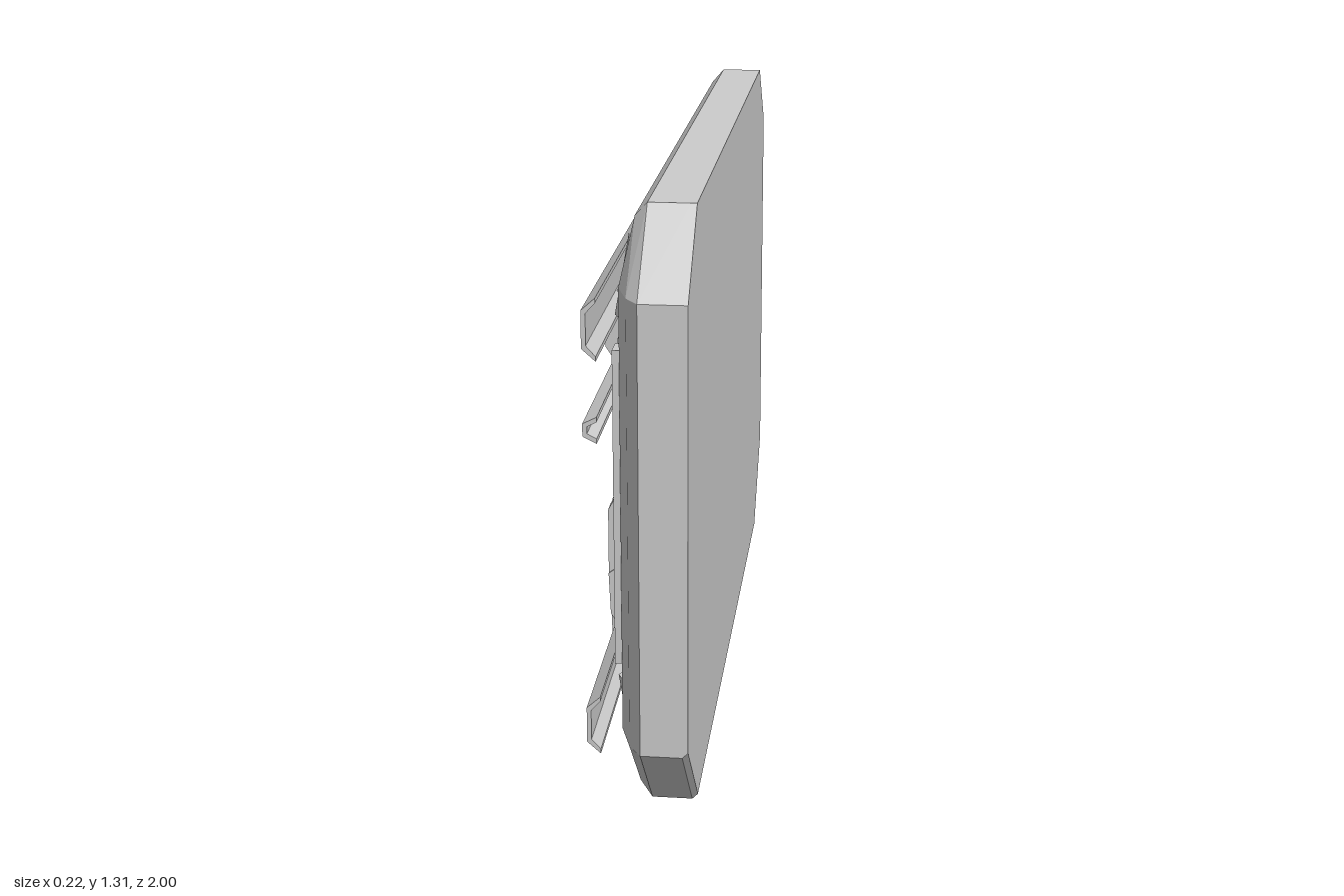
import * as THREE from 'three';

const grey = new THREE.MeshStandardMaterial({ color: 0xcccccc, flatShading: true, side: THREE.DoubleSide });
const smooth = new THREE.MeshStandardMaterial({ color: 0xcccccc });

export function createModel() {
  const model = new THREE.Group();
  const add = (name, geometry, material = grey) => {
    const mesh = new THREE.Mesh(geometry, material);
    mesh.name = name;
    model.add(mesh);
    return mesh;
  };
  // Box given by its limits
  const box = (name, x0, x1, y0, y1, z0, z1) =>
    add(name, new THREE.BoxGeometry(x1 - x0, y1 - y0, z1 - z0)
      .translate((x0 + x1) / 2, (y0 + y1) / 2, (z0 + z1) / 2));
  // Profile in x and y, extruded along z
  const prism = (name, points, z0, z1) => {
    const shape = new THREE.Shape(points.map(p => new THREE.Vector2(p[0], p[1])));
    return add(name, new THREE.ExtrudeGeometry(shape, { depth: z1 - z0, bevelEnabled: false }).translate(0, 0, z0));
  };

  // Door slab: eight-sided outline, stepping inwards towards the back face
  const outline = (x, iy, iz) => {
    const w = 1 - iz, b = iy, t = 1.31 - iy;
    return [[w, 0.2], [w, 1.15], [0.83 - iz * 0.4, t], [-0.83 + iz * 0.4, t],
      [-w, 1.15], [-w, 0.2], [-0.8 + iz * 0.4, b], [0.8 - iz * 0.4, b]].map(([z, y]) => [x, y, z]);
  };
  const rings = [outline(0.11, 0, 0), outline(0.012, 0, 0), outline(-0.015, 0.03, 0.04), outline(-0.04, 0.14, 0.12)];
  // Small bevel along the lower front edge
  rings[0].forEach(p => { if (p[1] < 0.3) p[1] += 0.012; });
  rings.splice(1, 0, outline(0.098, 0, 0));
  const verts = rings.flat(2), index = [];
  for (let r = 0; r < rings.length - 1; r++) {
    for (let i = 0; i < 8; i++) {
      const a = r * 8 + i, b = r * 8 + (i + 1) % 8;
      index.push(a, a + 8, b, b, a + 8, b + 8);
    }
  }
  const last = (rings.length - 1) * 8;
  for (let i = 1; i < 7; i++) {
    index.push(0, i, i + 1);
    index.push(last, last + i + 1, last + i);
  }
  // Outline runs clockwise seen from +x, so flip the winding
  for (let i = 0; i < index.length; i += 3) [index[i + 1], index[i + 2]] = [index[i + 2], index[i + 1]];
  const slab = new THREE.BufferGeometry();
  slab.setAttribute('position', new THREE.Float32BufferAttribute(verts, 3));
  slab.setIndex(index);
  slab.computeVertexNormals();
  add('doorSlab', slab);

  // Channel rails, open towards the door
  const rail = (name, y, h, lip) => {
    const t = 0.01;
    prism(name, [
      [-0.068, y + h], [-0.096, y + h - lip], [-0.096, y - h + lip], [-0.068, y - h],
      [-0.068, y - h + t], [-0.087, y - h + lip + t * 0.6], [-0.087, y + h - lip - t * 0.6], [-0.068, y + h - t],
    ], -1, 1);
  };
  rail('topRail', 1.097, 0.063, 0.025);
  rail('bottomRail', 0.265, 0.063, 0.025);
  rail('middleRail', 0.895, 0.027, 0.014);

  // Raised frame around the inner panel
  box('frameBottom', -0.06, -0.035, 0.345, 0.385, -0.52, 0.52);
  box('frameTop', -0.06, -0.035, 0.975, 1.01, -0.52, 0.52);

  for (const s of [-1, 1]) {
    const span = (c, w) => [s * c - w / 2, s * c + w / 2];
    box('frameSide', -0.06, -0.035, 0.345, 1.01, ...span(0.5, 0.05));
    box('outerPost', -0.055, -0.035, 0.345, 1.02, ...span(0.85, 0.05));
    box('innerPost', -0.052, -0.035, 0.345, 1.02, ...span(0.63, 0.035));

    // Toothed rack with a latch at its foot
    for (const o of [-0.045, 0.045]) box('rackSide', -0.055, -0.035, 0.6, 1.02, ...span(0.735 + o, 0.015));
    for (let i = 0; i < 6; i++) {
      const y = 0.69 + i * 0.058;
      prism('rackTooth', [[-0.035, y], [-0.06, y], [-0.05, y + 0.03], [-0.035, y + 0.03]], ...span(0.735, 0.08));
    }
    prism('latchBase', [[-0.035, 0.35], [-0.075, 0.42], [-0.079, 0.51], [-0.05, 0.53], [-0.035, 0.53]], ...span(0.735, 0.11));
    for (const o of [-0.033, 0.033]) {
      prism('latchProng', [[-0.035, 0.5], [-0.079, 0.5], [-0.079, 0.65], [-0.068, 0.67], [-0.035, 0.67]], ...span(0.735 + o, 0.035));
    }

    // Upper clamp with two prongs reaching over the middle rail
    prism('upperClamp', [[-0.035, 1.1], [-0.07, 1.08], [-0.105, 1.04], [-0.111, 1.0], [-0.111, 0.94], [-0.098, 0.92], [-0.035, 0.92]], ...span(0.535, 0.088));
    for (const o of [-0.027, 0.027]) box('upperClampProng', -0.098, -0.035, 0.78, 0.93, ...span(0.535 + o, 0.03));
    box('upperClampBack', -0.062, -0.035, 0.67, 0.93, ...span(0.535, 0.06));

    // Lower clamp with two prongs reaching up
    prism('lowerClamp', [[-0.035, 0.17], [-0.098, 0.23], [-0.104, 0.28], [-0.104, 0.32], [-0.088, 0.36], [-0.035, 0.37]], ...span(0.535, 0.08));
    for (const o of [-0.026, 0.026]) {
      prism('lowerClampProng', [[-0.035, 0.33], [-0.088, 0.33], [-0.094, 0.42], [-0.094, 0.49], [-0.035, 0.49]], ...span(0.535 + o, 0.028));
    }

    // Pointed corner ribs behind the outer rails
    for (const [base, tip] of [[1.07, 1.24], [0.28, 0.09]]) {
      const rib = new THREE.ConeGeometry(0.06, Math.abs(tip - base), 4);
      if (tip < base) rib.rotateX(Math.PI);
      rib.scale(0.5, 1, 1);
      add('cornerRib', rib.translate(-0.03, (base + tip) / 2, s * 0.79));
    }
  }

  // Hand wheel: rim, spokes and stepped hub behind
  const wheel = new THREE.Group();
  wheel.name = 'handWheel';
  wheel.position.set(-0.035, 0.65, 0);
  wheel.rotation.y = -Math.PI / 2;
  model.add(wheel);
  const part = (name, geometry, material) => {
    const mesh = new THREE.Mesh(geometry, material);
    mesh.name = name;
    wheel.add(mesh);
    return mesh;
  };
  const ring = (name, outer, inner, depth) => {
    const shape = new THREE.Shape().absarc(0, 0, outer, 0, Math.PI * 2);
    shape.holes.push(new THREE.Path().absarc(0, 0, inner, 0, Math.PI * 2, true));
    part(name, new THREE.ExtrudeGeometry(shape, { depth, bevelEnabled: false, curveSegments: 32 }), grey);
  };
  ring('wheelRim', 0.265, 0.205, 0.055);
  ring('hubRing', 0.15, 0.11, 0.022);
  part('hub', new THREE.CylinderGeometry(0.06, 0.06, 0.045, 24).rotateX(Math.PI / 2).translate(0, 0, 0.0225), smooth);
  for (let i = 0; i < 4; i++) {
    const spoke = new THREE.Shape([[0, -0.018], [0.22, -0.032], [0.22, 0.032], [0, 0.018]].map(p => new THREE.Vector2(...p)));
    const mesh = part('wheelSpoke', new THREE.ExtrudeGeometry(spoke, { depth: 0.018, bevelEnabled: false }).translate(0, 0, 0.034), grey);
    mesh.rotation.z = 0.26 + i * Math.PI / 2;
  }
  return model;
}
